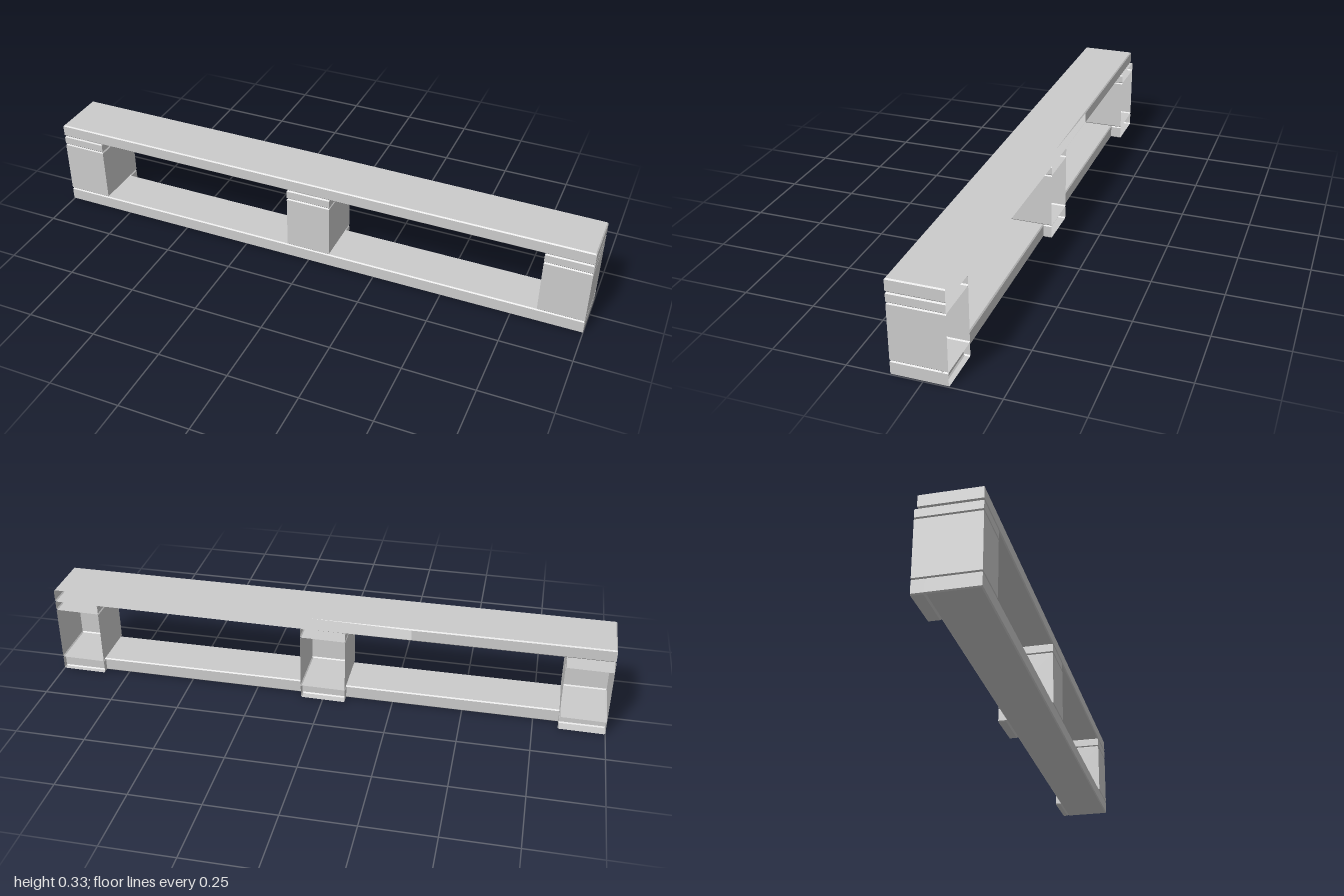
import * as THREE from 'three';

const CHAMFER = 0.004;
const FRONT = 0.1045;

// Slanted rear section plane: z at a given x, and its inverse
const cutZ = (x) => -0.093 + 0.0112 * x;
const cutX = (z) => (z + 0.093) / 0.0112;

const material = new THREE.MeshStandardMaterial({
  color: 0xcccccc, flatShading: true, side: THREE.DoubleSide,
});

// Timber shell with chamfered top and bottom edges.
// footprint(inset) returns the corners [x, z], counterclockwise from above;
// openEdge is the index of the side left open by the section plane.
function timber(name, y0, y1, footprint, openEdge = -1) {
  const rings = [[y0, CHAMFER], [y0 + CHAMFER, 0], [y1 - CHAMFER, 0], [y1, CHAMFER]]
    .map(([y, inset]) => footprint(inset).map(([x, z]) => [x, y, z]));
  const positions = [];
  const triangle = (...corners) => corners.forEach((p) => positions.push(...p));
  const n = rings[0].length;

  // Sides and chamfers
  for (let r = 0; r < 3; r++) {
    for (let i = 0; i < n; i++) {
      if (i === openEdge) continue;
      const j = (i + 1) % n;
      const [low, high] = [rings[r], rings[r + 1]];
      triangle(low[i], low[j], high[j]);
      triangle(low[i], high[j], high[i]);
    }
  }
  // Bottom and top faces
  for (let i = 1; i < n - 1; i++) {
    triangle(rings[0][0], rings[0][i + 1], rings[0][i]);
    triangle(rings[3][0], rings[3][i], rings[3][i + 1]);
  }

  const geometry = new THREE.BufferGeometry();
  geometry.setAttribute('position', new THREE.Float32BufferAttribute(positions, 3));
  geometry.computeVertexNormals();
  const mesh = new THREE.Mesh(geometry, material);
  mesh.name = name;
  return mesh;
}

// Footprint running from a front z back to the section plane
const cutFootprint = (x0, x1, front) => (d) => [
  [x0 + d, front - d], [x1 - d, front - d],
  [x1 - d, cutZ(x1 - d)], [x0 + d, cutZ(x0 + d)],
];

export function createModel() {
  const model = new THREE.Group();
  model.name = 'palletSection';

  // Bottom board, complete on all sides
  const bottomBack = -0.062;
  model.add(timber('bottomBoard', 0, 0.05, (d) => [
    [-1 + d, FRONT - d], [1 - d, FRONT - d],
    [1 - d, bottomBack + d], [-1 + d, bottomBack + d],
  ]));

  // Top board, its rear edge partly sliced away by the section plane
  const topBack = -0.0965;
  model.add(timber('topBoard', 0.287, 0.333, (d) => [
    [-1 + d, FRONT - d], [1 - d, FRONT - d], [1 - d, cutZ(1 - d)],
    [cutX(topBack + d), topBack + d], [-1 + d, topBack + d],
  ], 2));

  // Three supports: skid end, block and stringer, all open at the rear
  const supports = [['right', -1, -0.838], ['middle', -0.081, 0.081], ['left', 0.838, 1]];
  for (const [side, x0, x1] of supports) {
    const support = new THREE.Group();
    support.name = `${side}Support`;
    support.add(
      timber('skidEnd', 0, 0.05, cutFootprint(x0, x1, bottomBack), 2),
      timber('block', 0.05, 0.251, cutFootprint(x0, x1, FRONT), 2),
      timber('stringer', 0.251, 0.286, cutFootprint(x0, x1, FRONT), 2),
    );
    model.add(support);
  }
  return model;
}
